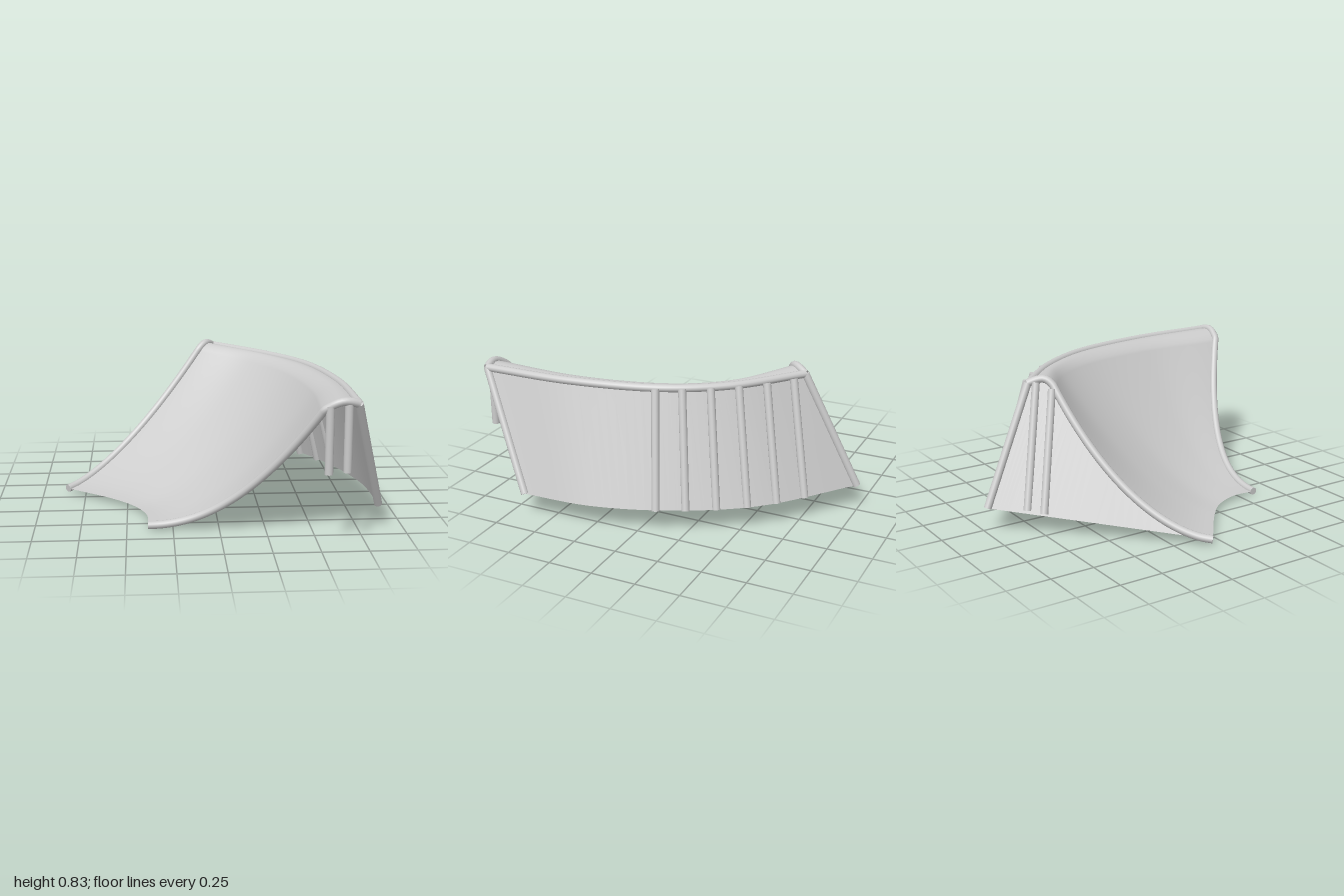
import * as THREE from 'three';

const V = (x, y, z) => new THREE.Vector3(x, y, z);
const R = 0.022;

// Guide curves running from the front end (t = 0) to the back end (t = 1)
const guide = (pts) => new THREE.CatmullRomCurve3(pts.map((p) => V(...p)));
const toe = guide([[-0.385, 0.025, 0.59], [-0.39, 0.03, 0.44], [-0.45, 0.03, 0.29], [-0.57, 0.035, 0.16], [-0.855, 0.035, -0.07]]);
const lip = guide([[0.5, 0.74, 0.962], [0.52, 0.74, 0.45], [0.42, 0.745, -0.05], [0.25, 0.75, -0.34], [-0.05, 0.775, -0.57]]);
const crest = guide([[0.675, 0.775, 0.97], [0.66, 0.775, 0.45], [0.55, 0.775, -0.05], [0.36, 0.775, -0.37], [0.04, 0.785, -0.68]]);
const foot = guide([[0.86, 0.14, 0.645], [0.835, 0.14, 0.25], [0.7, 0.14, -0.17], [0.45, 0.14, -0.58], [-0.03, 0.14, -0.985]]);

// Cross-section of the bowl and its rounded crest at t; the end sections lie in tilted planes
function section(t) {
  const a = toe.getPoint(t), b = lip.getPoint(t), c = crest.getPoint(t);
  const power = 2.15 - 0.6 * t - 0.12 * Math.sin(Math.PI * t);
  const tilt = (0.52 + 0.08 * t) * (2 * t - 1) ** 2;
  const bulge = 0.03 - 0.01 * Math.sin(Math.PI * t);
  const pts = [];
  for (let i = 0; i <= 24; i++) {
    const u = 1 - (1 - i / 24) ** 1.4;
    const p = a.clone().lerp(b, u);
    const sag = (b.y - a.y) * (u ** power - u);
    p.y += sag;
    p.z += tilt * sag;
    pts.push(p);
  }
  for (let i = 1; i <= 6; i++) {
    const p = b.clone().lerp(c, i / 6);
    const rise = bulge * Math.sin(Math.PI * i / 6);
    p.y += rise;
    p.z += tilt * rise;
    pts.push(p);
  }
  return pts;
}

// Surface through rows of points
function loft(rows) {
  const n = rows[0].length, index = [];
  for (let i = 0; i < rows.length - 1; i++) {
    for (let j = 0; j < n - 1; j++) {
      const a = i * n + j, b = a + n;
      index.push(a, a + 1, b, b, a + 1, b + 1);
    }
  }
  const g = new THREE.BufferGeometry().setFromPoints(rows.flat());
  g.setIndex(index);
  g.computeVertexNormals();
  return g;
}

export function createModel() {
  const model = new THREE.Group();
  const metal = new THREE.MeshStandardMaterial({ color: 0xcccccc });
  const sheet = new THREE.MeshStandardMaterial({ color: 0xcccccc, side: THREE.DoubleSide });

  const add = (name, geometry, material, parent = model) => {
    const mesh = new THREE.Mesh(geometry, material);
    mesh.name = name;
    parent.add(mesh);
    return mesh;
  };

  // Straight round bar between two points
  const bar = (name, from, to) => {
    const d = to.clone().sub(from);
    const mesh = add(name, new THREE.CylinderGeometry(R, R, d.length(), 16), metal);
    mesh.position.copy(from).addScaledVector(d, 0.5);
    mesh.quaternion.setFromUnitVectors(V(0, 1, 0), d.normalize());
  };

  // Bent pipe with flat end caps
  const pipe = (name, curve) => {
    const group = new THREE.Group();
    group.name = name;
    add(name + 'Tube', new THREE.TubeGeometry(curve, 80, R, 12), metal, group);
    for (const [t, sign] of [[0, -1], [1, 1]]) {
      const cap = add(name + 'Cap', new THREE.CircleGeometry(R, 12), metal, group);
      cap.position.copy(curve.getPoint(t));
      cap.quaternion.setFromUnitVectors(V(0, 0, 1), curve.getTangent(t).multiplyScalar(sign));
    }
    model.add(group);
  };

  const steps = 40;
  const stations = Array.from({ length: steps + 1 }, (_, i) => i / steps);

  // Curved bowl with rounded crest
  add('bowl', loft(stations.map(section)), sheet);

  // Sloping outer wall
  add('outerWall', loft(stations.map((t) => [crest.getPoint(t), foot.getPoint(t)])), sheet);

  // Flat back wall from the bowl's end profile down to a straight lower edge
  const back = section(1);
  const toeEnd = toe.getPoint(1), footEnd = foot.getPoint(1);
  const span = back[back.length - 1].x - toeEnd.x;
  add('backWall', loft(back.map((p) => [p, toeEnd.clone().lerp(footEnd, (p.x - toeEnd.x) / span)])), sheet);

  // Edge rails
  pipe('frontRail', new THREE.CatmullRomCurve3(section(0)));
  pipe('backRail', new THREE.CatmullRomCurve3(back));
  pipe('crestRail', crest);
  bar('frontSlopeRail', crest.getPoint(0), foot.getPoint(0));
  bar('backSlopeRail', crest.getPoint(1), footEnd);

  // Struts on the outer wall: top x, z then bottom x, z
  const struts = [
    [0.575, -0.03, 0.735, -0.105], [0.515, -0.16, 0.665, -0.25], [0.435, -0.29, 0.58, -0.393],
    [0.345, -0.415, 0.483, -0.533], [0.242, -0.535, 0.37, -0.658], [0.12, -0.643, 0.24, -0.772],
  ];
  for (const [x0, z0, x1, z1] of struts) bar('outerStrut', V(x0, 0.775, z0), V(x1, 0.14, z1));

  // Struts on the back wall
  bar('backStrut', V(0.01, 0.79, -0.645), V(-0.17, 0.135, -0.815));
  bar('backStrut', V(-0.06, 0.76, -0.585), V(-0.24, 0.125, -0.75));

  // Short upright posts at the front
  bar('frontPost', V(0.53, 0.765, 0.975), V(0.53, 0.41, 0.975));
  bar('frontPost', V(0.625, 0.79, 0.975), V(0.625, 0.42, 0.975));

  return model;
}
